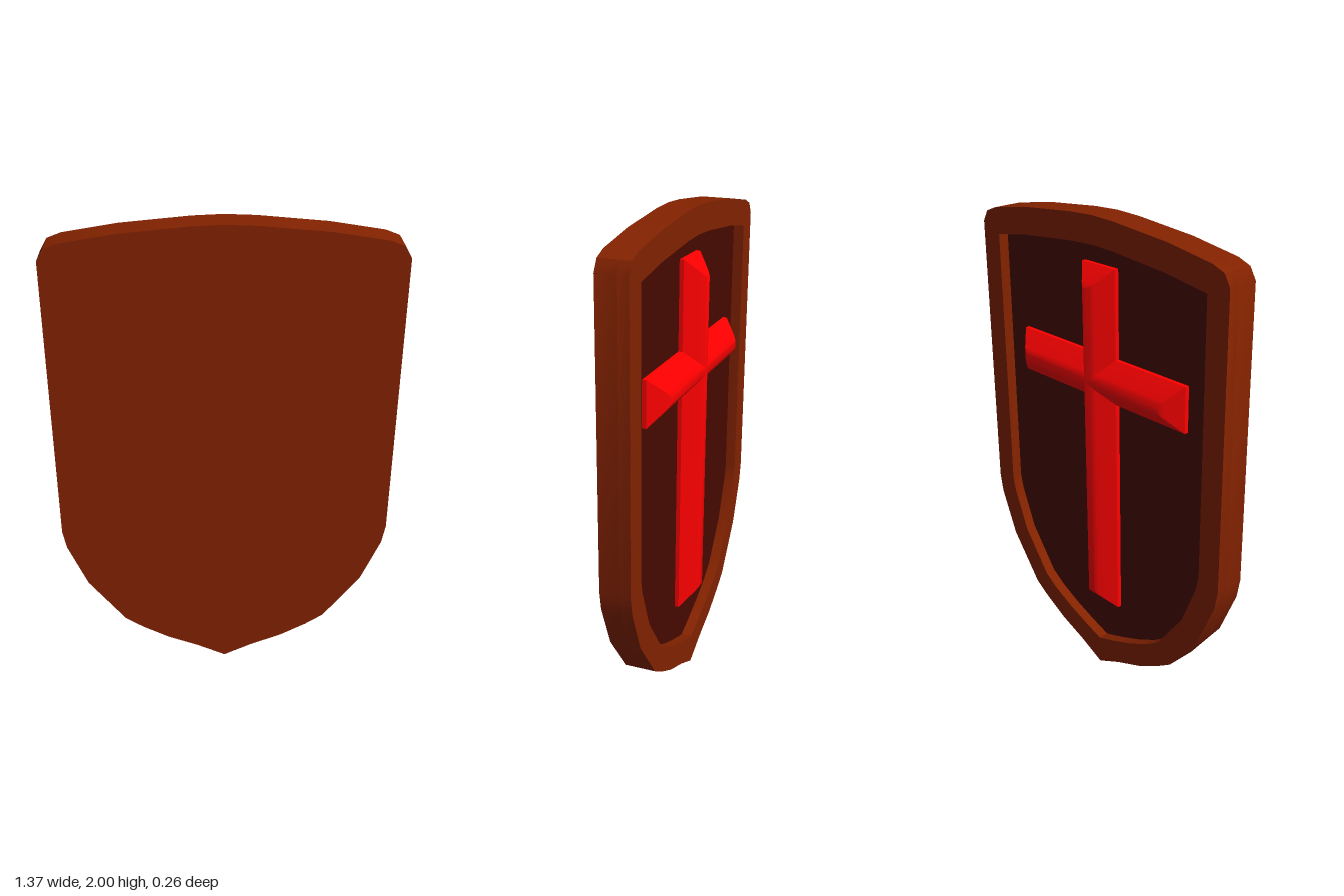
import * as THREE from 'three';
import { toCreasedNormals } from 'three/addons/utils/BufferGeometryUtils.js';

const HALF = 0.0635; // half the slab thickness
const RECESS = 0.045; // depth of the panel behind the rim

// Half outlines, top centre to bottom tip
const OUTER = [[0, 2], [0.12, 1.995], [0.39, 1.97], [0.6, 1.936], [0.654, 1.915], [0.68, 1.87], [0.68, 0.69],
  [0.666, 0.61], [0.587, 0.42], [0.435, 0.22], [0.36, 0.17], [0.25, 0.11], [0.12, 0.058], [0, 0]];
const INNER = [[0, 1.89], [0.12, 1.885], [0.39, 1.86], [0.58, 1.83], [0.58, 0.71],
  [0.567, 0.65], [0.497, 0.475], [0.365, 0.295], [0.3, 0.25], [0.2, 0.2], [0.1, 0.16], [0, 0.125]];

// Mirror a half outline into a closed counter-clockwise loop, centred on y = 0
function loop(half) {
  const mirrored = half.slice(1, -1).map(([x, y]) => [-x, y]);
  return [half[0], ...mirrored, ...half.slice(1).reverse()].map(([x, y]) => new THREE.Vector2(x, y - 1));
}

function slab(shape, z0, z1) {
  const geo = new THREE.ExtrudeGeometry(shape, { depth: z1 - z0, bevelEnabled: false });
  return toCreasedNormals(geo.translate(0, 0, z0), 0.56);
}

// Bar along y made of stacked rectangles, each [inset, height], closed by a narrow cap
const BAR_LAYERS = [[0, 0], [0, 0.018], [0.06, 0.073], [0.077, 0.085]];
function bevelledBar(width, length) {
  const pos = [], index = [];
  BAR_LAYERS.forEach(([inset, z], k) => {
    const w = width / 2 - inset, l = length / 2 - inset;
    pos.push(-w, -l, z, w, -l, z, w, l, z, -w, l, z);
    if (k === 0) return;
    for (let i = 0; i < 4; i++) {
      const a = 4 * (k - 1) + i, b = 4 * (k - 1) + (i + 1) % 4;
      index.push(a, b, b + 4, a, b + 4, a + 4);
    }
  });
  const top = 4 * (BAR_LAYERS.length - 1);
  index.push(top, top + 1, top + 2, top, top + 2, top + 3);
  const geo = new THREE.BufferGeometry();
  geo.setAttribute('position', new THREE.Float32BufferAttribute(pos, 3));
  geo.setIndex(index);
  return toCreasedNormals(geo, 0.74);
}

export function createModel() {
  const model = new THREE.Group();
  model.name = 'shield';
  const material = (color) => new THREE.MeshStandardMaterial({ color });
  const wood = material(0x832200), dark = material(0x470800), red = material(0xfe0000);

  const body = new THREE.Group();
  body.name = 'shieldBody';
  body.position.set(0, 1, 0.0065);
  body.rotation.set(-0.0165, 0.081, 0);
  model.add(body);

  const add = (name, geo, mat) => {
    const mesh = new THREE.Mesh(geo, mat);
    mesh.name = name;
    body.add(mesh);
  };

  // Solid board and the raised rim on its back
  const floor = -HALF + RECESS;
  add('board', slab(new THREE.Shape(loop(OUTER)), floor, HALF), wood);
  const ring = new THREE.Shape(loop(OUTER));
  ring.holes.push(new THREE.Path(loop(INNER)));
  add('rim', slab(ring, -HALF, floor), wood);

  // Dark recessed panel
  const panel = new THREE.ShapeGeometry(new THREE.Shape(loop(INNER))).rotateY(Math.PI);
  add('panel', panel.translate(0, 0, floor - 0.001), dark);

  // Cross on the panel
  const bars = [
    ['crossUpright', 1.49, 1.065, 0],
    ['crossArm', 0.93, 1.36, Math.PI / 2],
  ];
  for (const [name, length, y, turn] of bars) {
    const geo = bevelledBar(0.185, length).rotateZ(turn).rotateY(Math.PI);
    add(name, geo.translate(0, y - 1, floor), red);
  }
  return model;
}
